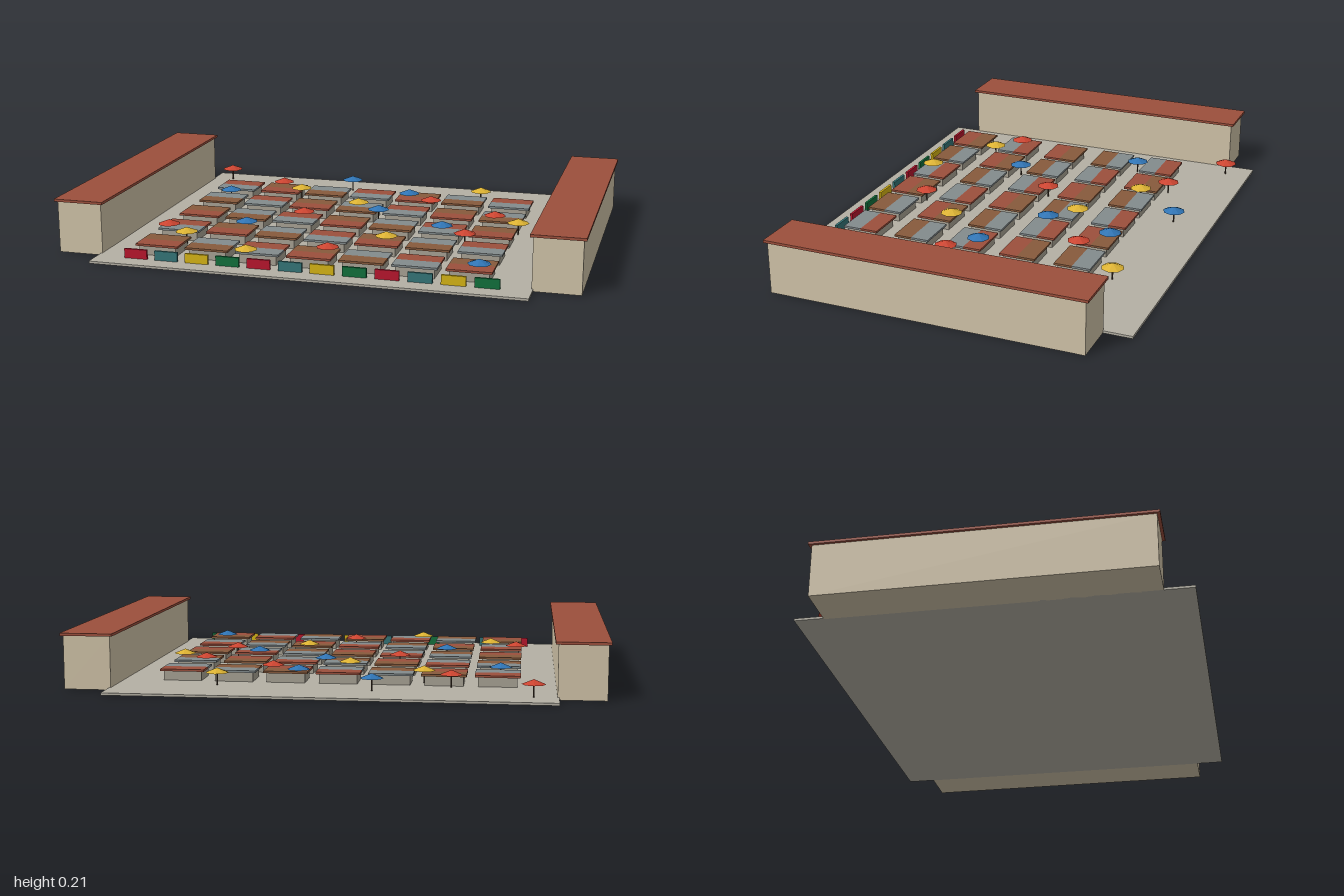
import * as THREE from 'three';

const mat = (color, extra = {}) => new THREE.MeshStandardMaterial({ color, ...extra });

export function createModel() {
  const model = new THREE.Group();

  const add = (parent, name, geometry, material, x, y, z) => {
    const mesh = new THREE.Mesh(geometry, material);
    mesh.name = name;
    mesh.position.set(x, y, z);
    parent.add(mesh);
    return mesh;
  };
  // Box standing on height y0
  const box = (parent, name, w, h, d, material, x, y0, z) =>
    add(parent, name, new THREE.BoxGeometry(w, h, d), material, x, y0 + h / 2, z);
  const group = (name, x = 0, y = 0, z = 0) => {
    const g = new THREE.Group();
    g.name = name;
    g.position.set(x, y, z);
    model.add(g);
    return g;
  };

  const stone = mat(0xb4b0a4), wall = mat(0xd0c3a8), tile = mat(0x9c4f3c);
  const stallBody = mat(0xa8a294), pole = mat(0x4a3a2c);
  const roofs = [tile, mat(0x875a3c), mat(0x838b8d)];
  const floor = 0.009;

  // Paved square
  box(model, 'plaza', 1.64, floor, 1.422, stone, 0, 0, 0);

  // Long buildings on both sides
  for (const side of [-1, 1]) {
    const building = group(side > 0 ? 'leftBuilding' : 'rightBuilding', side * 0.902);
    box(building, 'walls', 0.176, 0.2, 1.206, wall, 0, 0, 0);
    box(building, 'roof', 0.196, 0.01, 1.228, tile, 0, 0.2, 0);
  }

  // Market stalls, each with a two-coloured flat roof
  const rowOffset = [0, 2, 1, 0, 1];
  for (let r = 0; r < 5; r++) {
    for (let c = 0; c < 7; c++) {
      const stall = group('stall', (c - 3) * 0.198 - 0.005, floor, -0.357 + r * 0.2195);
      box(stall, 'stallBody', 0.145, 0.036, 0.12, stallBody, 0, 0, 0);
      const k = c + rowOffset[r];
      box(stall, 'backRoof', 0.168, 0.008, 0.071, roofs[k % 3], 0, 0.036, -0.0355);
      box(stall, 'frontRoof', 0.168, 0.008, 0.071, roofs[(k + 2) % 3], 0, 0.036, 0.0355);
    }
  }

  // Row of coloured panels along the front
  const panelColors = [0xb8142c, 0x347578, 0xd6b414, 0x10703c].map((c) => mat(c));
  for (let i = 0; i < 12; i++) {
    box(model, 'panel', 0.09, 0.036, 0.01, panelColors[i % 4], (i - 5.5) * 0.1207, floor, 0.633);
  }

  // Parasols: [x, z] for each canopy colour
  const parasols = [
    [0xcc4430, [[-0.73, -0.61], [-0.43, -0.444], [0.26, -0.303], [0.558, -0.139],
      [-0.2, 0.005], [0.49, 0.147], [-0.66, 0.315], [0.03, 0.455]]],
    [0x2f74b4, [[-0.147, -0.555], [0.147, -0.39], [-0.607, -0.25], [0.083, -0.107],
      [0.382, 0.06], [-0.377, 0.203], [0.612, 0.51]]],
    [0xdcb232, [[0.436, -0.502], [-0.323, -0.358], [-0.024, -0.192], [0.666, -0.053],
      [0.206, 0.257], [-0.553, 0.4], [-0.254, 0.563]]],
  ];
  const canopy = new THREE.ConeGeometry(0.044, 0.018, 8);
  const post = new THREE.CylinderGeometry(0.003, 0.003, 0.056, 6);
  for (const [color, spots] of parasols) {
    const cloth = mat(color, { flatShading: true });
    for (const [x, z] of spots) {
      const parasol = group('parasol', x, floor, z);
      add(parasol, 'post', post, pole, 0, 0.028, 0);
      add(parasol, 'canopy', canopy, cloth, 0, 0.057, 0);
    }
  }
  return model;
}
